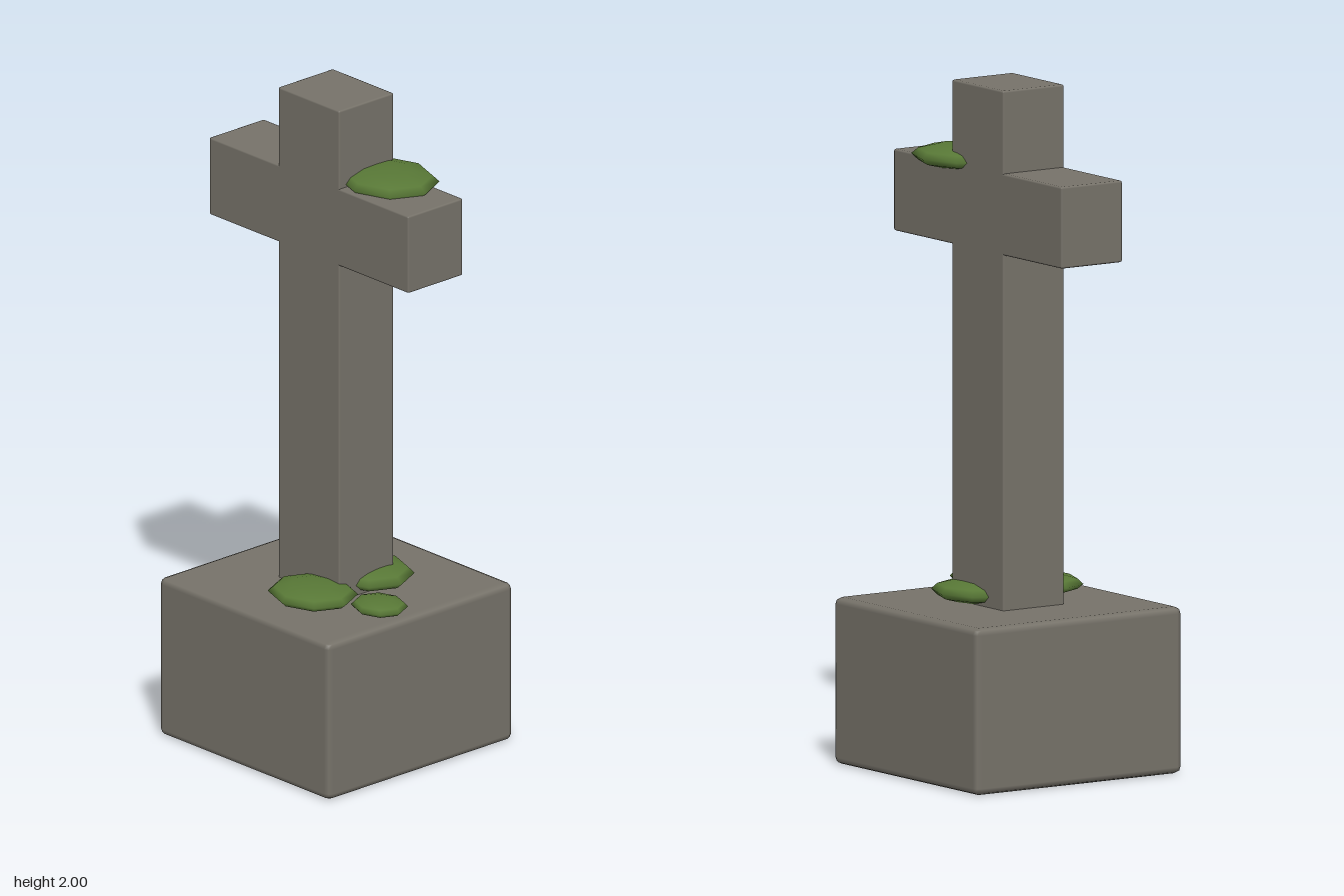
import * as THREE from 'three';
import { RoundedBoxGeometry } from 'three/addons/geometries/RoundedBoxGeometry.js';

export function createModel() {
  const model = new THREE.Group();
  model.name = 'stoneCross';

  const stone = new THREE.MeshStandardMaterial({ color: 0x77736a });
  stone.name = 'weatheredStone';
  const moss = new THREE.MeshStandardMaterial({ color: 0x587836 });
  moss.name = 'mossGreen';

  // Stone block with softened edges, placed by its bottom height
  function block(name, w, h, d, bottom, radius) {
    const mesh = new THREE.Mesh(new RoundedBoxGeometry(w, h, d, 1, radius), stone);
    mesh.name = name;
    mesh.position.y = bottom + h / 2;
    model.add(mesh);
  }
  block('plinth', 0.724, 0.486, 0.724, 0, 0.02);
  block('shaft', 0.26, 1.53, 0.214, 0.47, 0.006);
  block('crossArm', 0.846, 0.238, 0.214, 1.521, 0.006);

  // Flattened faceted-outline moss clumps: centre, then radii
  const clumpGeometry = new THREE.SphereGeometry(1, 8, 6);
  const clumps = [
    ['armMoss', [0.18, 1.766, -0.038], [0.16, 0.035, 0.137]],
    ['frontMoss', [0.084, 0.516, 0.168], [0.139, 0.03, 0.122]],
    ['sideMoss', [0.282, 0.513, 0.09], [0.088, 0.022, 0.077]],
    ['backMoss', [0.067, 0.516, -0.062], [0.145, 0.034, 0.126]],
  ];
  for (const [name, position, radii] of clumps) {
    const mesh = new THREE.Mesh(clumpGeometry, moss);
    mesh.name = name;
    mesh.position.set(...position);
    mesh.scale.set(...radii);
    model.add(mesh);
  }

  return model;
}
